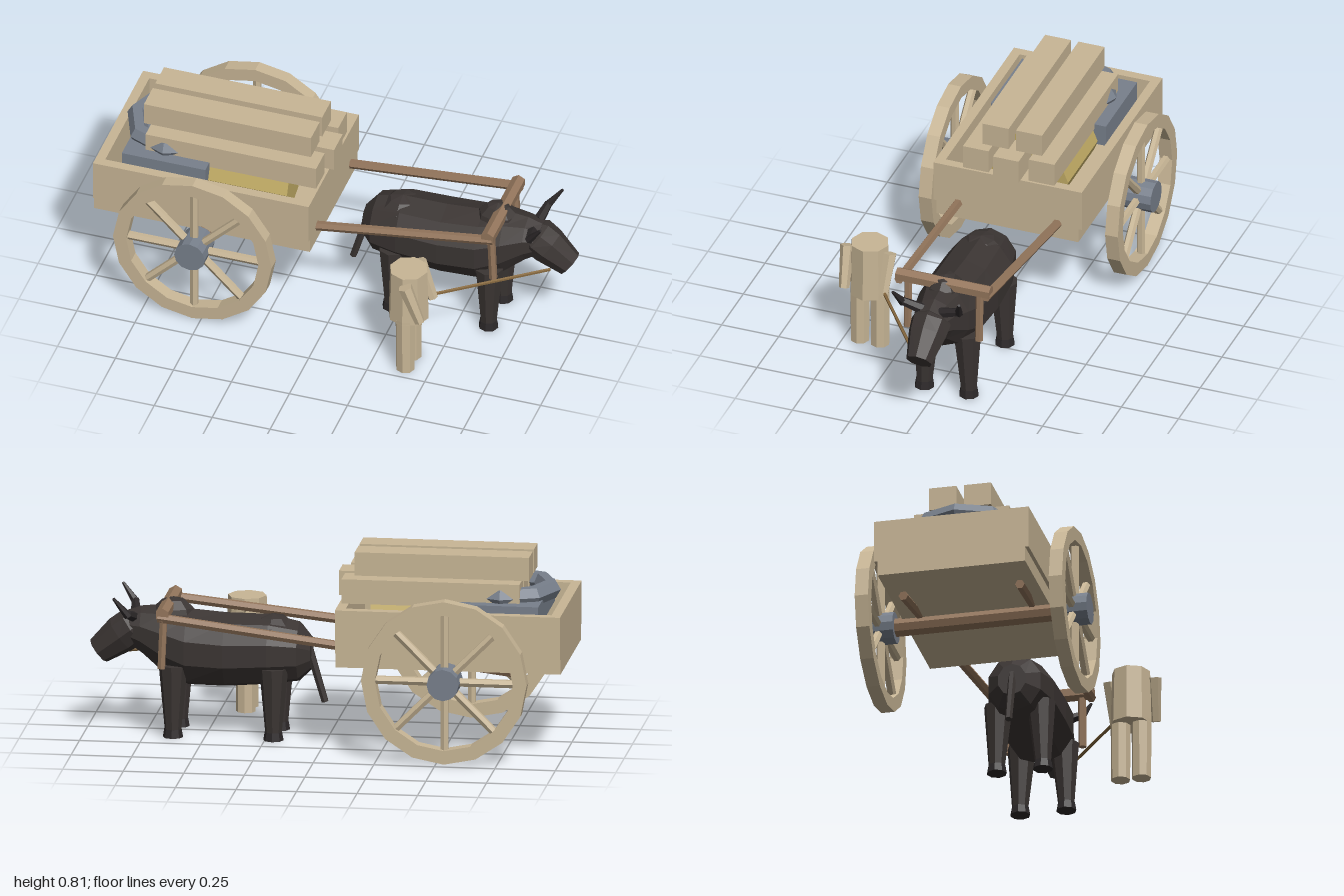
import * as THREE from 'three';

const CZ = -0.035; // centre line of cart and ox
const mat = (name, color) => {
  const m = new THREE.MeshStandardMaterial({ color, flatShading: true });
  m.name = name;
  return m;
};

export function createModel() {
  const root = new THREE.Group();
  root.name = 'oxCart';
  const pale = mat('pale wood', 0xc8b696), brown = mat('brown wood', 0x94765c);
  const slate = mat('slate metal', 0x78808c), straw = mat('straw', 0xc0aa64);
  const hide = mat('dark hide', 0x3b3533), horn = mat('horn', 0x2c2829), rope = mat('rope', 0x87693f);

  const add = (name, geo, material, parent = root) => {
    const m = new THREE.Mesh(geo, material);
    m.name = name;
    parent.add(m);
    return m;
  };
  // box from its limits
  const box = (name, material, x0, x1, y0, y1, z0, z1, parent) => {
    const m = add(name, new THREE.BoxGeometry(x1 - x0, y1 - y0, z1 - z0), material, parent);
    m.position.set((x0 + x1) / 2, (y0 + y1) / 2, (z0 + z1) / 2);
    return m;
  };
  // tapered rod between two points
  const rod = (name, material, a, b, ra, rb = ra, sides = 6, parent = root) => {
    const p = new THREE.Vector3(...a), q = new THREE.Vector3(...b), d = q.clone().sub(p);
    const m = add(name, new THREE.CylinderGeometry(rb, ra, d.length(), sides), material, parent);
    m.position.copy(p).add(q).multiplyScalar(0.5);
    m.quaternion.setFromUnitVectors(new THREE.Vector3(0, 1, 0), d.normalize());
    return m;
  };
  // skin over elliptical rings [x, centre y, half height, half width]
  const loft = (rings, n) => {
    const pos = [], idx = [];
    for (const [x, y, ry, rz] of rings)
      for (let j = 0; j < n; j++) {
        const a = (j / n) * Math.PI * 2;
        pos.push(x, y + Math.cos(a) * ry, Math.sin(a) * rz);
      }
    for (let i = 0; i < rings.length - 1; i++)
      for (let j = 0; j < n; j++) {
        const a = i * n + j, b = i * n + (j + 1) % n;
        idx.push(a, b, a + n, b, b + n, a + n);
      }
    const last = (rings.length - 1) * n;
    for (let j = 1; j < n - 1; j++) idx.push(0, j + 1, j, last, last + j, last + j + 1);
    const g = new THREE.BufferGeometry();
    g.setAttribute('position', new THREE.Float32BufferAttribute(pos, 3));
    g.setIndex(idx);
    g.computeVertexNormals();
    return g;
  };

  // cart tray: base and four walls
  const cart = new THREE.Group();
  cart.name = 'cart';
  cart.position.z = CZ;
  root.add(cart);
  box('cartBase', pale, -1, -0.07, 0.367, 0.432, -0.31, 0.31, cart);
  for (const s of [-1, 1]) {
    const [a, b] = s > 0 ? [0.285, 0.325] : [-0.325, -0.285];
    box('sideWall', pale, -1, -0.07, 0.43, 0.61, a, b, cart);
  }
  box('rearWall', pale, -1, -0.96, 0.43, 0.61, -0.285, 0.285, cart);
  box('frontWall', pale, -0.11, -0.07, 0.43, 0.61, -0.285, 0.285, cart);

  // wheels with hubs and spokes
  rod('axle', brown, [-0.535, 0.345, -0.41], [-0.535, 0.345, 0.41], 0.04, 0.04, 8, cart);
  const rim = new THREE.Shape(), hole = new THREE.Path();
  for (let i = 0; i < 16; i++) {
    const a = (i / 16) * Math.PI * 2, f = i ? 'lineTo' : 'moveTo';
    rim[f](Math.cos(a) * 0.342, Math.sin(a) * 0.342);
    hole[f](Math.cos(a) * 0.285, Math.sin(a) * 0.285);
  }
  rim.holes.push(hole);
  const rimGeo = new THREE.ExtrudeGeometry(rim, { depth: 0.056, bevelEnabled: false });
  rimGeo.translate(0, 0, -0.028);
  for (const s of [-1, 1]) {
    const wheel = new THREE.Group();
    wheel.name = 'wheel';
    wheel.position.set(-0.535, 0.345, s * 0.408);
    cart.add(wheel);
    add('rim', rimGeo, pale, wheel);
    rod('hub', slate, [0, 0, -0.065], [0, 0, 0.065], 0.066, 0.066, 12, wheel);
    for (let i = 0; i < 8; i++) {
      const a = (i * Math.PI) / 4, c = Math.cos(a), d = Math.sin(a);
      rod('spoke', pale, [c * 0.04, d * 0.04, 0], [c * 0.295, d * 0.295, 0], 0.018, 0.018, 6, wheel);
    }
  }

  // shafts, yoke beam and neck posts
  for (const s of [-1, 1]) {
    rod('shaft', brown, [-0.82, 0.35, s * 0.245], [0.68, 0.522, s * 0.19], 0.02, 0.02, 6, cart);
    rod('yokePost', brown, [0.67, 0.3, s * 0.156], [0.66, 0.53, s * 0.156], 0.017, 0.017, 6, cart);
  }
  rod('yokeBeam', brown, [0.66, 0.535, -0.205], [0.66, 0.535, 0.205], 0.03, 0.03, 6, cart);

  // cargo: beams, slab, coil and straw bundles
  [-0.145, 0, 0.143].forEach((z, i) =>
    box('lowerBeam', pale, -0.815, i === 1 ? -0.05 : -0.08, 0.61, 0.712, z - 0.056, z + 0.056, cart));
  for (const z of [-0.073, 0.073]) box('upperBeam', pale, -0.845, -0.125, 0.712, 0.81, z - 0.057, z + 0.057, cart);
  box('slab', slate, -0.9, -0.54, 0.54, 0.633, -0.252, 0.252, cart);
  const coil = add('coil', new THREE.TorusGeometry(0.182, 0.042, 6, 8), slate, cart);
  coil.rotation.x = Math.PI / 2;
  coil.position.set(-0.735, 0.65, 0);
  for (const [y, z] of [[0.66, 0], [0.555, 0.13], [0.555, -0.13]])
    rod('strawBundle', straw, [-0.56, y, z], [-0.2, y, z], 0.086, 0.086, 8, cart);

  // ox: body, hump, neck and head
  const ox = new THREE.Group();
  ox.name = 'ox';
  ox.position.z = CZ;
  root.add(ox);
  add('body', loft([
    [0.07, 0.35, 0.07, 0.06], [0.12, 0.355, 0.125, 0.115], [0.24, 0.36, 0.147, 0.145],
    [0.42, 0.353, 0.155, 0.153], [0.58, 0.36, 0.16, 0.145], [0.68, 0.39, 0.145, 0.12],
    [0.77, 0.425, 0.1, 0.09], [0.83, 0.435, 0.07, 0.07],
  ], 10), hide, ox);
  const hump = add('hump', new THREE.SphereGeometry(0.09, 8, 6), hide, ox);
  hump.position.set(0.64, 0.478, 0);
  hump.scale.set(1.05, 1, 0.85);
  const rump = add('rump', new THREE.SphereGeometry(0.1, 8, 6), hide, ox);
  rump.position.set(0.23, 0.415, 0);
  rump.scale.set(1.1, 0.95, 1.1);
  const head = add('head', loft([
    [-0.03, 0, 0.05, 0.055], [0.01, 0, 0.078, 0.085], [0.07, 0, 0.08, 0.08], [0.19, 0, 0.057, 0.055],
  ], 8), hide, ox);
  head.position.set(0.8, 0.445, 0);
  head.rotation.z = -0.66;

  // ox: legs, horns, tail
  for (const s of [-1, 1]) {
    for (const x of [0.215, 0.63]) {
      rod('leg', hide, [x, 0.03, s * 0.097], [x, 0.3, s * 0.09], 0.034, 0.06, 8, ox);
      rod('hoof', horn, [x, 0, s * 0.097], [x, 0.035, s * 0.097], 0.042, 0.036, 8, ox);
    }
    rod('hornBase', horn, [0.8, 0.485, s * 0.04], [0.815, 0.515, s * 0.125], 0.024, 0.017, 6, ox);
    rod('hornTip', horn, [0.812, 0.508, s * 0.122], [0.87, 0.585, s * 0.145], 0.018, 0.006, 6, ox);
  }
  rod('tail', hide, [0.09, 0.4, 0], [0.015, 0.145, 0], 0.018, 0.015, 6, ox);

  // driver facing the ox's way, holding the lead rope
  const driver = new THREE.Group();
  driver.name = 'driver';
  driver.position.set(0.395, 0, 0.39);
  root.add(driver);
  rod('torso', pale, [0, 0.245, 0], [0, 0.48, 0], 0.086, 0.08, 8, driver);
  for (const s of [-1, 1]) {
    rod('leg', pale, [0, 0, s * 0.044], [0, 0.26, s * 0.044], 0.04, 0.042, 8, driver);
    rod('arm', pale, [0.015, 0.455, s * 0.093], [0.075, 0.285, s * 0.085], 0.03, 0.022, 6, driver);
  }
  rod('leadRope', rope, [0.465, 0.3, 0.305], [0.88, 0.318, 0.015], 0.007, 0.007, 5);
  return root;
}
